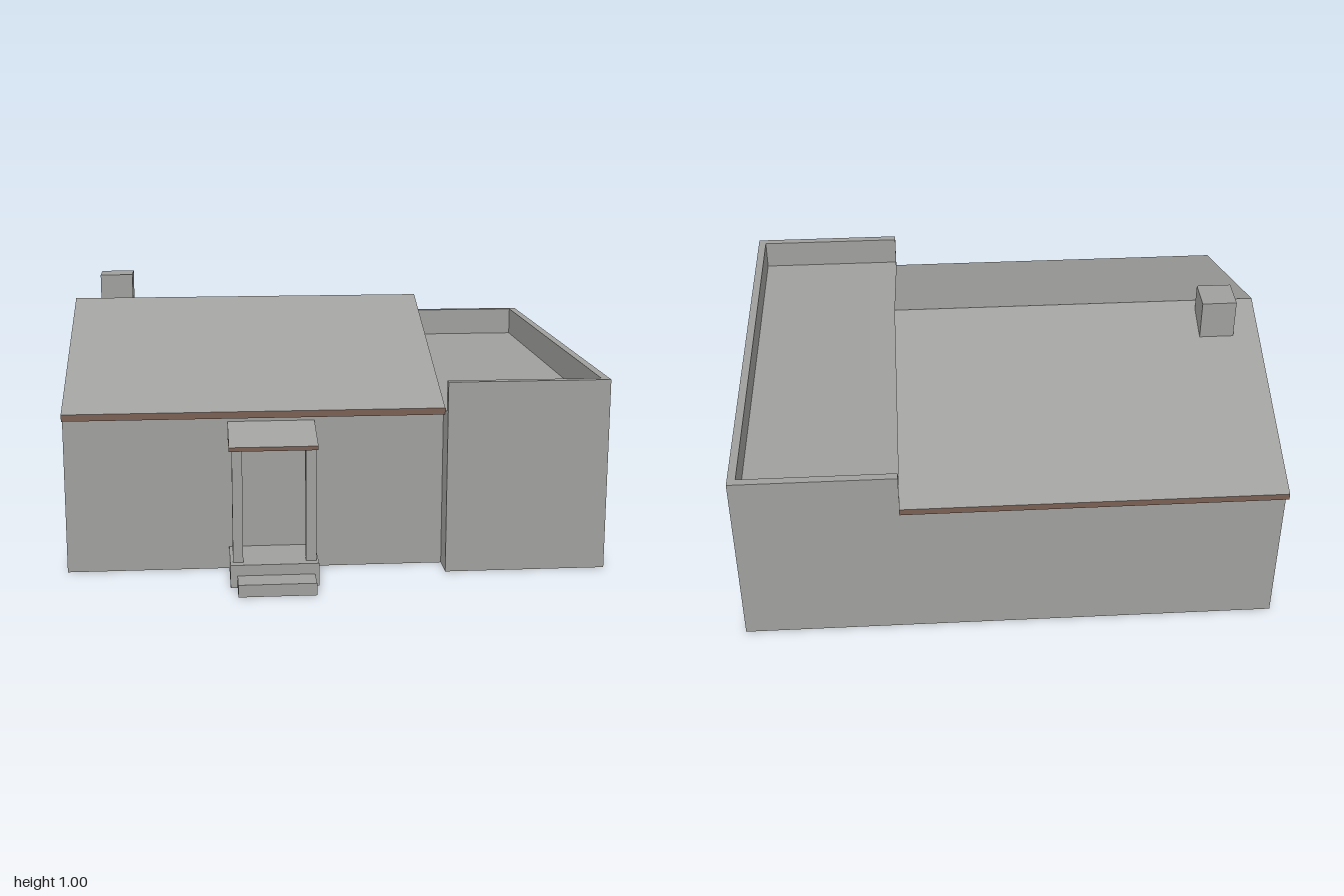
import * as THREE from 'three';

const stone = new THREE.MeshStandardMaterial({ color: 0xa0a09e, side: THREE.DoubleSide });
stone.name = 'grey stone';
const timber = new THREE.MeshStandardMaterial({ color: 0x7a6054, side: THREE.DoubleSide });
timber.name = 'brown timber';

// Main dimensions
const L = -1, M = 0.4, R = 1;              // left end, junction and right end in x
const FRONT = 0.65, BACK = -0.93;          // main walls
const WING = 0.755;                        // front of the flat-roofed wing
const EAVE_F = 0.69, EAVE_B = -0.97, RIDGE_Z = -0.138;
const SOFFIT = 0.585, EAVE = 0.61, RIDGE = 0.91;
const DECK = 0.605, TOP = 0.72, T = 0.03;  // flat roof and parapet

export function createModel() {
  const model = new THREE.Group();
  model.name = 'house';

  const add = (name, geometry, material = stone, parent = model) => {
    const mesh = new THREE.Mesh(geometry, material);
    mesh.name = name;
    parent.add(mesh);
    return mesh;
  };
  // Flat four-cornered face, corners anticlockwise from outside
  const quad = (name, corners, material = stone) => {
    const g = new THREE.BufferGeometry();
    g.setAttribute('position', new THREE.Float32BufferAttribute(corners.flat(), 3));
    g.setIndex([0, 1, 2, 0, 2, 3]);
    g.computeVertexNormals();
    return add(name, g, material);
  };
  // Box given by its limits
  const box = (name, x0, x1, y0, y1, z0, z1, parent = model) => {
    const g = new THREE.BoxGeometry(x1 - x0, y1 - y0, z1 - z0);
    g.translate((x0 + x1) / 2, (y0 + y1) / 2, (z0 + z1) / 2);
    return add(name, g, stone, parent);
  };
  const shape = (pts) => new THREE.Shape(pts.map(([a, b]) => new THREE.Vector2(a, b)));
  // Upright face across x, outlined in (z, y); dir is the side it faces
  const endFace = (name, x, pts, dir, material = stone, parent = model) => {
    const g = new THREE.ShapeGeometry(shape(pts.map(([z, y]) => [-dir * z, y])));
    g.rotateY(dir * Math.PI / 2);
    g.translate(x, 0, 0);
    return add(name, g, material, parent);
  };

  // Outer walls, an open-bottomed shell
  quad('frontWall', [[L, 0, FRONT], [M, 0, FRONT], [M, SOFFIT, FRONT], [L, SOFFIT, FRONT]]);
  quad('backWall', [[M, 0, BACK], [L, 0, BACK], [L, SOFFIT, BACK], [M, SOFFIT, BACK]]);
  quad('wingFrontWall', [[M, 0, WING], [R, 0, WING], [R, DECK, WING], [M, DECK, WING]]);
  quad('wingBackWall', [[R, 0, BACK], [M, 0, BACK], [M, DECK, BACK], [R, DECK, BACK]]);
  quad('wingSideWall', [[R, 0, WING], [R, 0, BACK], [R, DECK, BACK], [R, DECK, WING]]);
  quad('wingReturnWall', [[M, 0, FRONT], [M, 0, WING], [M, DECK, WING], [M, DECK, FRONT]]);

  // Gable ends, including the small ends of the eaves
  const roofLine = [[EAVE_F, SOFFIT], [EAVE_F, EAVE], [RIDGE_Z, RIDGE], [EAVE_B, EAVE], [EAVE_B, SOFFIT]];
  endFace('sideGableWall', L, [[FRONT, 0], [FRONT, SOFFIT], ...roofLine, [BACK, SOFFIT], [BACK, 0]], -1);
  endFace('innerGable', M, roofLine, 1);

  // Pitched roof with timber fascia and soffit
  quad('frontRoofSlope', [[L, EAVE, EAVE_F], [M, EAVE, EAVE_F], [M, RIDGE, RIDGE_Z], [L, RIDGE, RIDGE_Z]]);
  quad('backRoofSlope', [[M, EAVE, EAVE_B], [L, EAVE, EAVE_B], [L, RIDGE, RIDGE_Z], [M, RIDGE, RIDGE_Z]]);
  quad('frontFascia', [[L, SOFFIT, EAVE_F], [M, SOFFIT, EAVE_F], [M, EAVE, EAVE_F], [L, EAVE, EAVE_F]], timber);
  quad('backFascia', [[M, SOFFIT, EAVE_B], [L, SOFFIT, EAVE_B], [L, EAVE, EAVE_B], [M, EAVE, EAVE_B]], timber);
  quad('frontSoffit', [[L, SOFFIT, FRONT], [M, SOFFIT, FRONT], [M, SOFFIT, EAVE_F], [L, SOFFIT, EAVE_F]], timber);
  quad('backSoffit', [[L, SOFFIT, EAVE_B], [M, SOFFIT, EAVE_B], [M, SOFFIT, BACK], [L, SOFFIT, BACK]], timber);

  // Flat wing roof inside a U-shaped parapet
  quad('flatRoof', [[M, DECK, WING - T], [R - T, DECK, WING - T], [R - T, DECK, BACK + T], [M, DECK, BACK + T]]);
  const parapet = new THREE.ExtrudeGeometry(shape([
    [M, -WING], [R, -WING], [R, -BACK], [M, -BACK],
    [M, -BACK - T], [R - T, -BACK - T], [R - T, -WING + T], [M, -WING + T],
  ]), { depth: TOP - DECK, bevelEnabled: false });
  parapet.rotateX(-Math.PI / 2);
  parapet.translate(0, DECK, 0);
  add('parapet', parapet);

  // Chimney
  box('chimney', -0.9, -0.77, 0.82, 1, -0.305, -0.175);

  // Porch: slab, step and posts
  const porch = new THREE.Group();
  porch.name = 'porch';
  model.add(porch);
  const wall = FRONT - 0.002, x0 = -0.4, x1 = -0.08;
  box('porchSlab', x0, x1, 0, 0.085, wall, 0.87, porch);
  box('porchStep', -0.375, -0.095, 0, 0.045, 0.87, 0.97, porch);
  for (const x of [-0.39, -0.125]) box('porchPost', x, x + 0.037, 0.085, 0.5, 0.8, 0.838, porch);

  // Lean-to porch roof: stone top and back, timber edges and underside
  const zf = 0.845, low = 0.5, lip = 0.515, high = 0.565;
  const side = [[wall, low], [zf, low], [zf, lip], [wall, high]];
  endFace('porchRoofEnd', x0, side, -1, timber, porch);
  endFace('porchRoofEnd', x1, side, 1, timber, porch);
  const panel = (name, a, b, material) => porch.add(quad(name,
    [[x0, ...a], [x1, ...a], [x1, ...b], [x0, ...b]], material));
  panel('porchRoofTop', [lip, zf], [high, wall], stone);
  panel('porchRoofFascia', [low, zf], [lip, zf], timber);
  panel('porchRoofUnderside', [low, wall], [low, zf], timber);
  panel('porchRoofBack', [high, wall], [low, wall], stone);

  return model;
}
